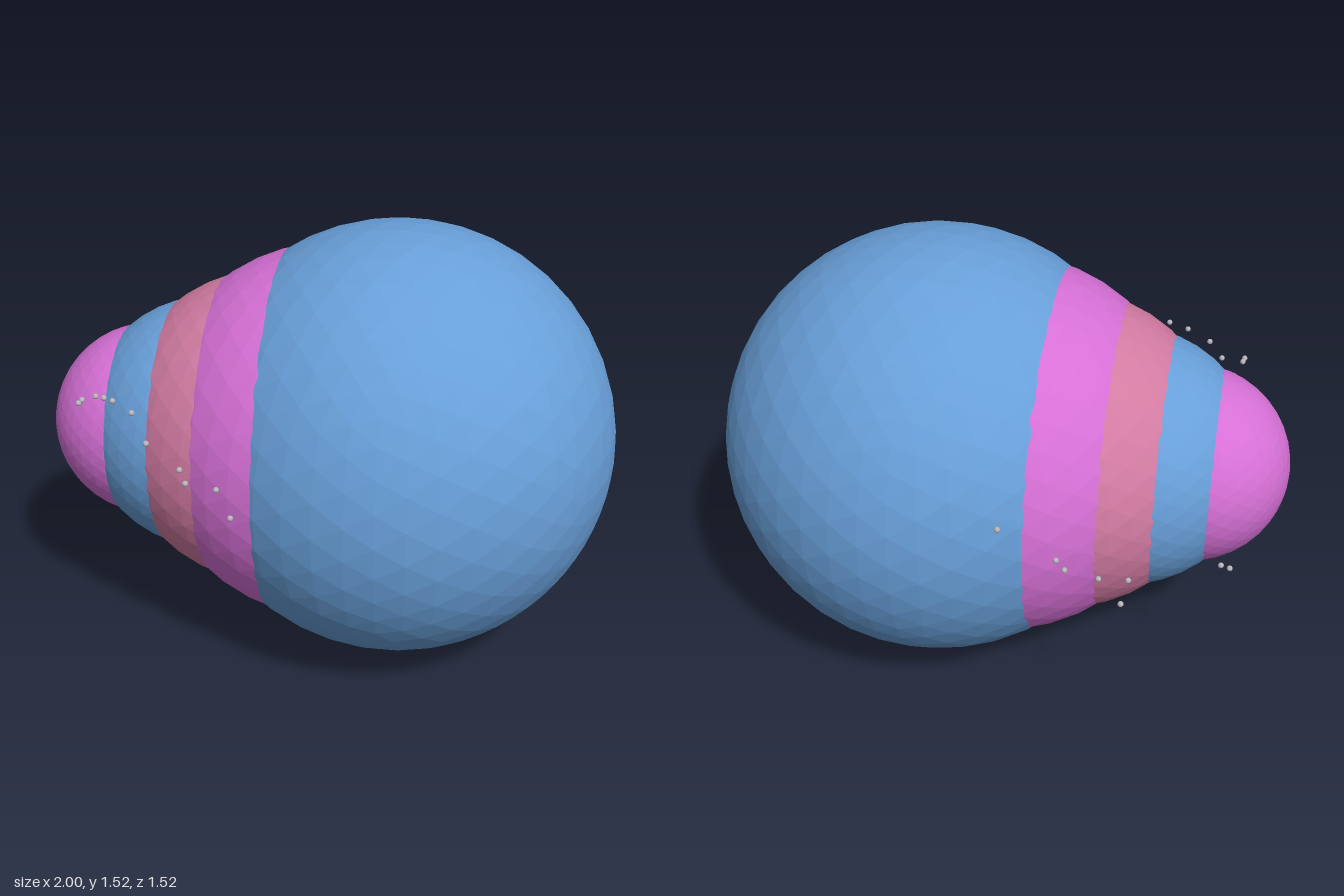
import * as THREE from 'three';

export function createModel() {
  const model = new THREE.Group();
  model.name = 'beadedCone';

  const mat = (name, color) => {
    const m = new THREE.MeshStandardMaterial({ color, flatShading: true });
    m.name = name;
    return m;
  };
  const blue = mat('blue', 0x689fd9);
  const orchid = mat('orchid', 0xd670d6);
  const rose = mat('rose', 0xd27ba2);
  const grey = mat('paleGrey', 0xb8b4bc);

  const axisY = 0.762;

  // Overlapping faceted balls growing along x
  const balls = [
    ['tipBall', -0.655, 0.345, orchid],
    ['secondBall', -0.433, 0.454, blue],
    ['thirdBall', -0.21, 0.561, rose],
    ['fourthBall', 0.014, 0.668, orchid],
    ['largeBall', 0.238, 0.762, blue],
  ];
  for (const [name, x, radius, material] of balls) {
    const ball = new THREE.Mesh(new THREE.IcosahedronGeometry(radius, 7), material);
    ball.name = name;
    ball.position.set(x, axisY, 0);
    model.add(ball);
  }

  // Tiny beads strung loosely along both sides
  const frontBeads = [
    [-0.805, 0.99, 0.355], [-0.8, 0.99, 0.33], [-0.775, 0.97, 0.26], [-0.725, 1.0, 0.325],
    [-0.675, 1.025, 0.39], [-0.59, 1.025, 0.465], [-0.515, 0.98, 0.58], [-0.4, 0.915, 0.62],
    [-0.373, 0.89, 0.66], [-0.29, 0.835, 0.594], [-0.23, 0.78, 0.67],
  ];
  const backBeads = [
    [-0.83, 0.58, -0.335], [-0.8, 0.58, -0.325], [-0.5, 0.565, -0.444], [-0.495, 0.616, -0.625],
    [-0.41, 0.637, -0.54], [-0.31, 0.737, -0.635], [-0.28, 0.76, -0.62], [-0.1, 0.9, -0.674],
  ];
  const beadGeometry = new THREE.IcosahedronGeometry(0.01, 2);
  const addBeads = (name, points) => {
    const group = new THREE.Group();
    group.name = name;
    for (const p of points) {
      const bead = new THREE.Mesh(beadGeometry, grey);
      bead.name = 'bead';
      bead.position.set(...p);
      group.add(bead);
    }
    model.add(group);
  };
  addBeads('frontBeads', frontBeads);
  addBeads('backBeads', backBeads);

  return model;
}
